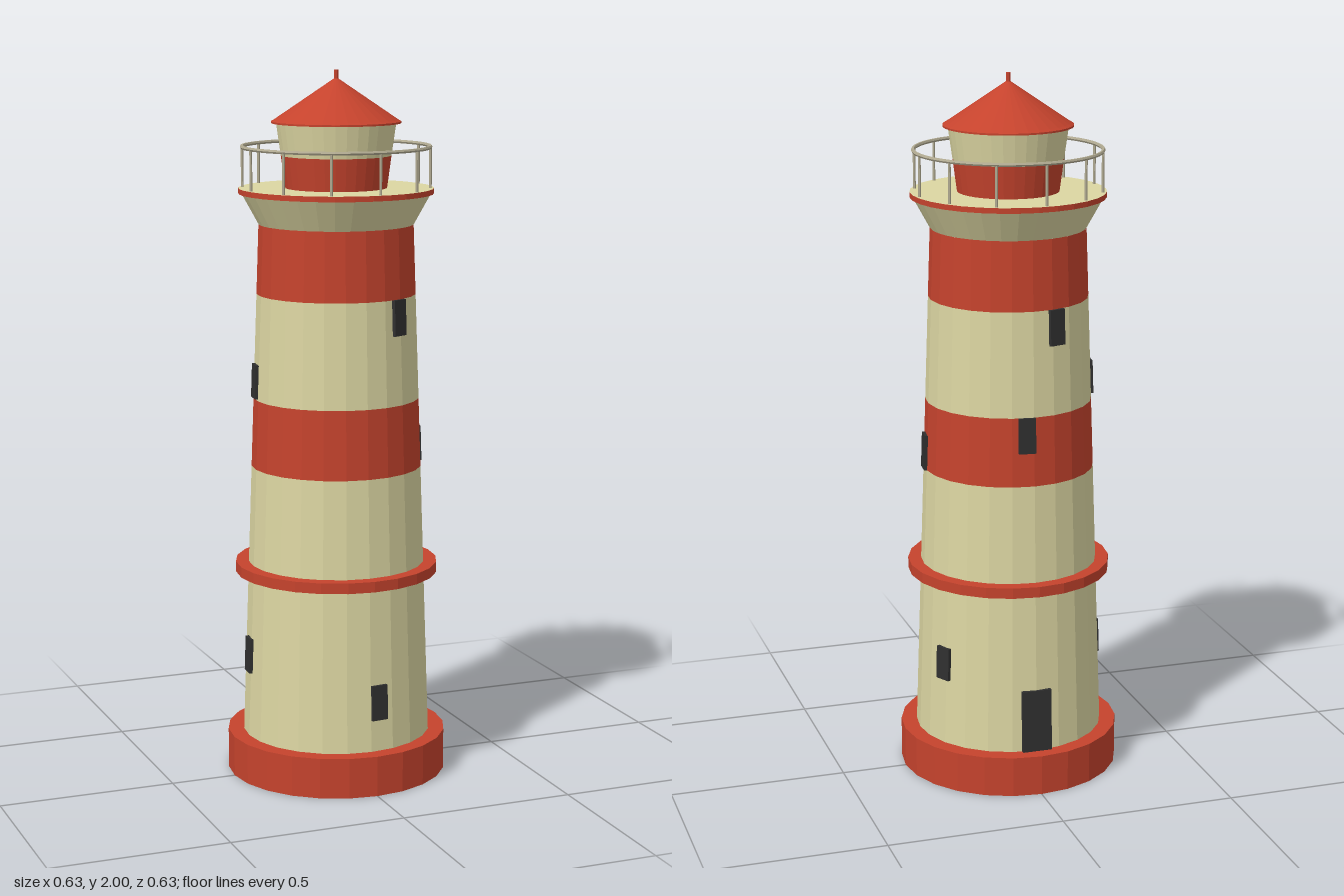
import * as THREE from 'three';

export function createModel() {
  const model = new THREE.Group();
  model.name = 'lighthouse';

  const mat = (name, color, extra = {}) => {
    const m = new THREE.MeshStandardMaterial({ color, flatShading: true, ...extra });
    m.name = name;
    return m;
  };
  const red = mat('red paint', 0xc5432d);
  const cream = mat('cream paint', 0xdcd6a2);
  const dark = mat('dark glass', 0x303030);
  const metal = mat('railing metal', 0xb2ab92);

  const add = (name, geometry, material, parent = model) => {
    const mesh = new THREE.Mesh(geometry, material);
    mesh.name = name;
    parent.add(mesh);
    return mesh;
  };
  // Tapered round section standing between two heights
  const section = (name, r0, r1, y0, y1, material, open = false, sides = 24) => {
    const g = new THREE.CylinderGeometry(r1, r0, y1 - y0, sides, 1, open);
    g.translate(0, (y0 + y1) / 2, 0);
    return add(name, g, material);
  };

  // Plinth: red sides and top, cream underside
  section('base', 0.313, 0.313, 0, 0.115, [red, red, cream]);

  // Tapered tower painted in bands
  const towerRadius = (y) => 0.268 - 0.0344 * (y - 0.115);
  const bands = [0.115, 0.89, 1.085, 1.38, 1.575];
  for (let i = 0; i < bands.length - 1; i++) {
    const [y0, y1] = [bands[i], bands[i + 1]];
    section(i % 2 ? 'towerRedBand' : 'towerCreamBand', towerRadius(y0), towerRadius(y1),
      y0, y1, i % 2 ? red : cream, true);
  }
  section('towerRing', 0.288, 0.288, 0.582, 0.612, red);

  // Flared gallery with a red rim and cream deck
  section('galleryFlare', 0.218, 0.266, 1.575, 1.662, cream, false, 32);
  section('galleryRim', 0.273, 0.273, 1.66, 1.675, [red, cream, red], false, 32);

  // Lantern room and roof
  section('lanternBase', 0.142, 0.154, 1.675, 1.765, red, true, 32);
  section('lanternTop', 0.154, 0.167, 1.765, 1.856, cream, false, 32);
  const roofProfile = [[0, 1.854], [0.181, 1.854], [0.181, 1.859], [0.172, 1.864], [0, 1.98]];
  add('roof', new THREE.LatheGeometry(roofProfile.map(([r, y]) => new THREE.Vector2(r, y)), 32), red);
  section('roofSpire', 0.007, 0.007, 1.96, 2, red, false, 8);

  // Railing
  const railing = new THREE.Group();
  railing.name = 'railing';
  model.add(railing);
  const rail = add('handrail', new THREE.TorusGeometry(0.262, 0.0055, 6, 48), metal, railing);
  rail.rotation.x = Math.PI / 2;
  rail.position.y = 1.789;
  for (let i = 0; i < 12; i++) {
    const a = THREE.MathUtils.degToRad(5.5 + i * 30);
    const post = add('railPost', new THREE.CylinderGeometry(0.004, 0.004, 0.115, 6), metal, railing);
    post.position.set(0.262 * Math.sin(a), 1.7315, 0.262 * Math.cos(a));
  }

  // Door and windows, set against the sloping wall: angle from the front, bottom, top, width
  const opening = (name, degrees, y0, y1, width) => {
    const pivot = new THREE.Group();
    pivot.name = name;
    pivot.rotation.y = THREE.MathUtils.degToRad(degrees);
    model.add(pivot);
    const y = (y0 + y1) / 2;
    const panel = add(name + 'Panel', new THREE.BoxGeometry(width, y1 - y0, 0.03), dark, pivot);
    panel.position.set(0, y, towerRadius(y) - 0.008);
    panel.rotation.x = -0.0344;
  };
  opening('door', 180, 0.115, 0.295, 0.085);
  [
    [5.5, 0.205, 0.305], [118, 0.305, 0.4], [267, 0.3, 0.4],
    [85, 0.89, 0.99], [175, 0.985, 1.085], [263, 1.09, 1.185],
    [28, 1.28, 1.38], [198, 1.28, 1.38],
  ].forEach(([a, y0, y1]) => opening('window', a, y0, y1, 0.048));

  return model;
}
